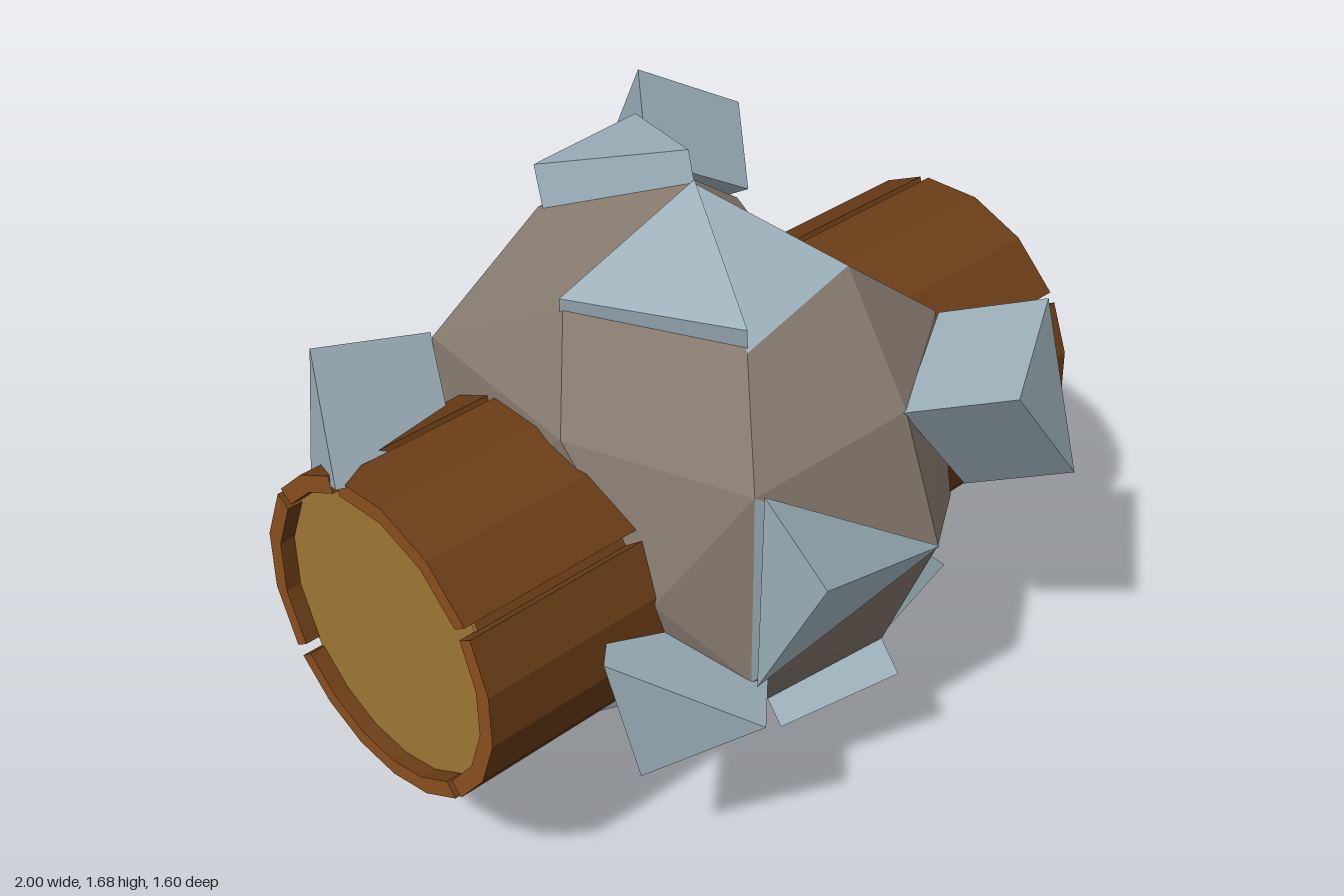
import * as THREE from 'three';
import { ConvexGeometry } from 'three/addons/geometries/ConvexGeometry.js';

const mat = (color) => new THREE.MeshStandardMaterial({ color, flatShading: true });
const bark = mat(0x6c3e17), barkEnd = mat(0x8b4f1d), wood = mat(0xa07834);
const stone = mat(0x867a6e), ore = mat(0x9fb3bd);
const vec = (p) => new THREE.Vector3(...p);

function add(parent, name, geometry, material) {
  const mesh = new THREE.Mesh(geometry, material);
  mesh.name = name;
  parent.add(mesh);
}

// Triangular block: outer face plus the same face shifted toward the boulder
function prism(parent, outer, shift) {
  const top = outer.map(vec);
  const base = top.map((p) => p.clone().add(vec(shift)));
  add(parent, 'shard', new ConvexGeometry([...top, ...base]), ore);
}

// One curved bark plate running the length of the log (angles in degrees)
function barkPlate(parent, from, to, inner, outer) {
  const shape = new THREE.Shape();
  const steps = Math.max(2, Math.round((to - from) / 20));
  const at = (i, r) => {
    const a = THREE.MathUtils.degToRad(from + ((to - from) * i) / steps);
    return [-r * Math.cos(a), r * Math.sin(a)];
  };
  shape.moveTo(...at(0, outer));
  for (let i = 1; i <= steps; i++) shape.lineTo(...at(i, outer));
  for (let i = steps; i >= 0; i--) shape.lineTo(...at(i, inner));
  const geo = new THREE.ExtrudeGeometry(shape, { depth: 1.97, bevelEnabled: false });
  geo.rotateY(Math.PI / 2).translate(-0.97, 0, 0);
  add(parent, 'barkPlate', geo, [barkEnd, bark]);
}

function createLog() {
  const log = new THREE.Group();
  log.name = 'log';
  log.position.set(0, 0.79, -0.025);
  // Core ends sit slightly inside the bark ring
  const core = new THREE.CylinderGeometry(0.38, 0.38, 1.89, 18);
  core.rotateZ(Math.PI / 2).translate(0.015, 0, 0);
  add(log, 'woodCore', core, wood);
  // Lining seen in the grooves between plates
  const lining = new THREE.CylinderGeometry(0.384, 0.384, 1.88, 18, 1, true);
  lining.rotateZ(Math.PI / 2).translate(0.015, 0, 0);
  add(log, 'grooveLining', lining, bark);
  const gaps = [-50, 33, 106, 145, 216, 310];
  for (let i = 0; i < gaps.length - 1; i++) {
    barkPlate(log, gaps[i] + 2, gaps[i + 1] - 2, 0.37, 0.414);
  }
  return log;
}

// Faceted boulder: convex hull with a few corners pushed in, split by facet colour
function createBoulder() {
  const dents = [
    [[0.42, 1.35, -0.03], [0.21, 1.27, 0]],
    [[0.56, 1.15, 0], [0.4, 1.17, -0.03]],
    [[-0.1, 1.25, -0.56], [0.02, 1.27, -0.5]],
    [[-0.35, 1.08, -0.55], [-0.25, 1.13, -0.5]],
  ].map((d) => d.map(vec));
  const corners = [
    [0.02, 1.6, -0.02], [-0.18, 1.4, 0.37], [0.22, 1.43, 0.3], [0.2, 1.45, -0.38],
    [-0.18, 1.48, -0.34], [-0.4, 1.44, 0], [0.48, 1.25, -0.33], [0.32, 1.11, -0.61],
    [-0.49, 1.23, -0.38], [-0.53, 1.21, 0.13], [0.13, 1.2, 0.58], [0.49, 1.21, 0.35],
    [-0.31, 1.15, 0.53], [0.16, 0.85, 0.68], [0.33, 0.85, 0.57], [-0.32, 0.62, 0.54],
    [0.13, 0.5, 0.55], [0.46, 0.5, 0.33], [0.5, 0.85, 0.36], [-0.48, 0.85, 0.38],
    [0.3, 0.68, -0.63], [0.02, 0.88, -0.71], [-0.09, 0.53, -0.63], [-0.18, 0.79, -0.61],
    [0.46, 0.6, -0.4], [0.5, 0.95, -0.42], [-0.52, 0.82, -0.44], [-0.46, 0.45, -0.33],
    [-0.43, 0.4, 0.24], [-0.14, 0.38, 0.42], [0.2, 0.28, 0.27], [0.38, 0.31, -0.04],
    [-0.08, 0.3, -0.4], [0.02, 0.2, 0], [-0.35, 0.3, -0.05], [0.22, 0.32, -0.36],
  ].map(vec);
  const hull = new ConvexGeometry([...corners, ...dents.map((d) => d[0])]);
  // Spots on the surface whose facets are ore
  const spots = [
    [0.02, 1.48, 0.22], [0.27, 0.68, 0.55], [0.38, 0.65, 0.47], [0.36, 1, -0.55],
    [0.42, 0.8, -0.5], [0.2, 0.9, -0.65], [-0.33, 1.03, -0.5], [-0.05, 0.88, 0.6],
    [0.36, 1.22, 0.04], [0.13, 1.08, -0.6], [0.2, 0.97, 0.6],
  ].map(vec);
  const split = { stone: [], ore: [] };
  const pos = hull.getAttribute('position');
  for (let i = 0; i < pos.count; i += 3) {
    const tri = [0, 1, 2].map((k) => {
      const p = new THREE.Vector3().fromBufferAttribute(pos, i + k);
      const dent = dents.find((d) => d[0].distanceTo(p) < 1e-3);
      return dent ? dent[1] : p;
    });
    const mid = tri[0].clone().add(tri[1]).add(tri[2]).divideScalar(3);
    const list = spots.some((s) => s.distanceTo(mid) < 0.13) ? split.ore : split.stone;
    tri.forEach((p) => list.push(p.x, p.y, p.z));
  }
  const boulder = new THREE.Group();
  boulder.name = 'boulder';
  const facets = (name, list, material) => {
    const geo = new THREE.BufferGeometry();
    geo.setAttribute('position', new THREE.Float32BufferAttribute(list, 3));
    geo.computeVertexNormals();
    add(boulder, name, geo, material);
  };
  facets('stoneFacets', split.stone, stone);
  facets('oreFacets', split.ore, ore);
  return boulder;
}

function createShards() {
  const shards = new THREE.Group();
  shards.name = 'shards';
  // Crown, back and front
  prism(shards, [[0.02, 1.68, -0.03], [0.2, 1.565, -0.41], [-0.18, 1.59, -0.35]], [0, -0.12, 0.03]);
  prism(shards, [[0.02, 1.61, -0.01], [-0.41, 1.475, 0], [-0.18, 1.46, 0.37]], [0.01, -0.06, -0.01]);
  // Upper left, back and front
  prism(shards, [[0.32, 1.6, -0.53], [0.64, 1.41, -0.49], [0.43, 1.26, -0.77]], [-0.12, -0.15, 0.16]);
  prism(shards, [[0.26, 1.28, 0.8], [0.63, 1.29, 0.58], [0.52, 0.94, 0.79]], [-0.14, -0.08, -0.22]);
  // Over the right end of the log
  prism(shards, [[-0.84, 1.36, -0.37], [-1, 1.2, -0.08], [-0.85, 1.0, -0.41]], [0.36, -0.13, -0.03]);
  // Front right, low
  prism(shards, [[-0.68, 0.82, 0.43], [-0.6, 0.45, 0.46], [-0.38, 0.59, 0.65]], [0.18, 0.02, -0.17]);
  // Underside
  prism(shards, [[0.58, 0.38, 0.37], [0.52, 0.19, 0], [0.3, 0.15, 0.31]], [-0.12, 0.13, -0.04]);
  prism(shards, [[-0.14, 0.32, 0.47], [0.13, 0.42, 0.61], [0.2, 0.2, 0.33]], [0, 0.09, -0.07]);
  prism(shards, [[-0.45, 0.14, -0.1], [-0.03, 0, -0.08], [-0.2, 0.12, -0.39]], [0.03, 0.23, 0.03]);
  // Back
  prism(shards, [[0.02, 0.88, -0.8], [0.31, 0.66, -0.71], [-0.09, 0.53, -0.72]], [0, 0.01, 0.1]);
  prism(shards, [[-0.2, 0.79, -0.6], [-0.46, 0.86, -0.53], [-0.45, 0.55, -0.52]], [0.05, 0, 0.1]);
  // Shallow splinter on the front
  add(shards, 'splinter', new ConvexGeometry([
    [-0.31, 1.17, 0.56], [-0.32, 0.62, 0.56], [0.16, 0.85, 0.685], [-0.2, 0.9, 0.66], [-0.14, 0.85, 0.5],
  ].map(vec)), ore);
  return shards;
}

export function createModel() {
  const model = new THREE.Group();
  model.name = 'boulderOnLog';
  model.add(createLog(), createBoulder(), createShards());
  return model;
}
